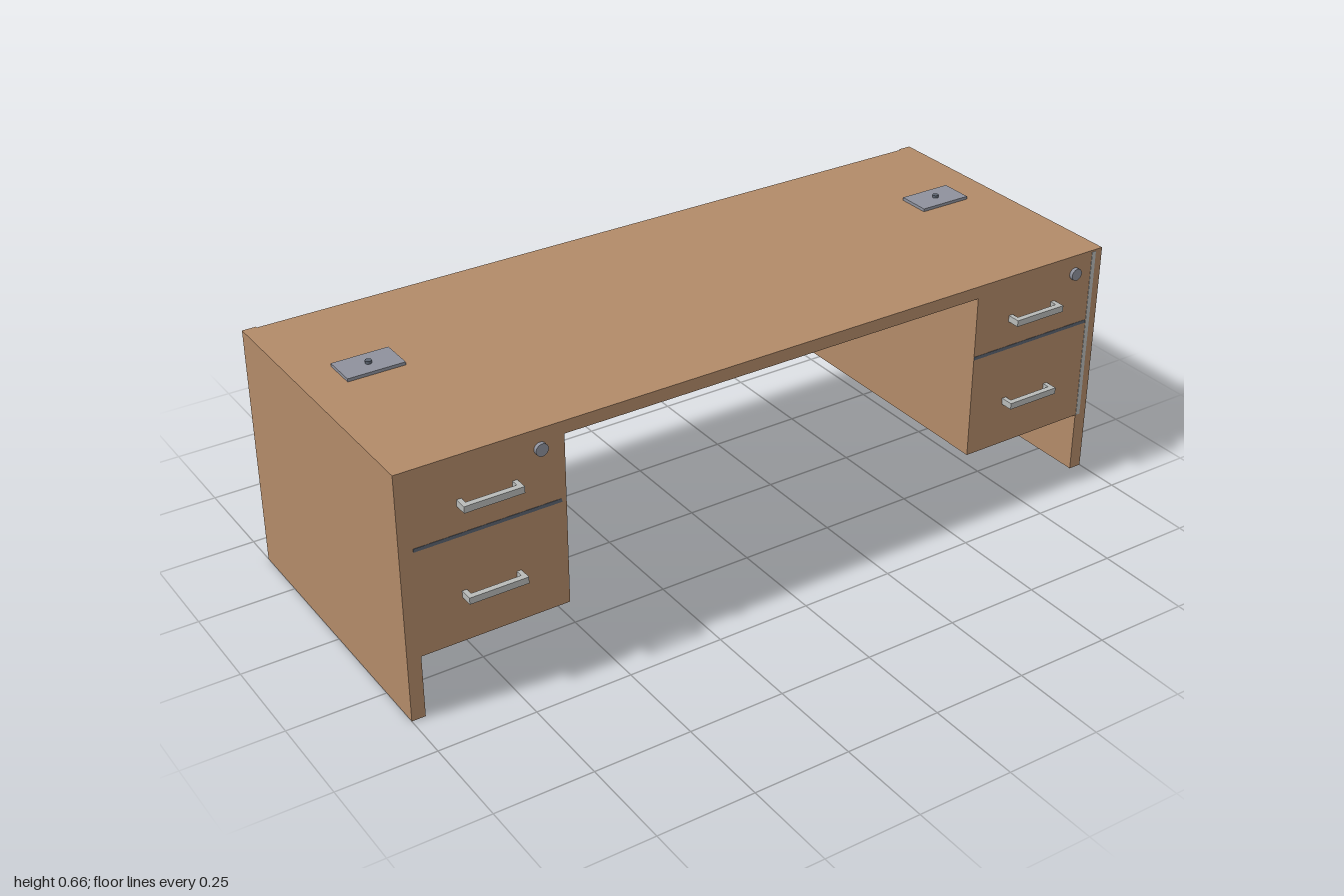
import * as THREE from 'three';

const material = (name, color, extra = {}) => {
  const m = new THREE.MeshStandardMaterial({ color });
  m.name = name;
  return m;
};

export function createModel() {
  const desk = new THREE.Group();
  desk.name = 'desk';
  const wood = material('wood', 0xb28a68);
  const silver = material('silver', 0xb8bab8);
  const steel = material('steel', 0x8e919c);
  const slate = material('slate', 0x5c6470);

  // Box given by its low and high limits on each axis
  const box = (name, mat, [x0, x1], [y0, y1], [z0, z1], parent = desk) => {
    const mesh = new THREE.Mesh(new THREE.BoxGeometry(x1 - x0, y1 - y0, z1 - z0), mat);
    mesh.position.set((x0 + x1) / 2, (y0 + y1) / 2, (z0 + z1) / 2);
    mesh.name = name;
    parent.add(mesh);
    return mesh;
  };
  const disc = (name, mat, r, h, x, y, z) => {
    const mesh = new THREE.Mesh(new THREE.CylinderGeometry(r, r, h, 24), mat);
    mesh.position.set(x, y, z);
    mesh.name = name;
    desk.add(mesh);
    return mesh;
  };

  const front = 0.375, back = -0.407;

  // Carcass: side panels, top between them, modesty panel at the back
  box('rightSidePanel', wood, [-1, -0.965], [0, 0.645], [back, front]);
  box('leftSidePanel', wood, [0.965, 1], [0, 0.645], [back, front]);
  box('deskTop', wood, [-0.965, 0.965], [0.612, 0.645], [-0.402, front]);
  box('modestyPanel', wood, [-0.965, 0.965], [0.245, 0.612], [back, -0.385]);

  // U-shaped drawer pull
  const handle = (x, y) => {
    const g = new THREE.Group();
    g.name = 'drawerHandle';
    const s = new THREE.Shape();
    [[-0.075, 0], [-0.075, 0.034], [0.075, 0.034], [0.075, 0], [0.063, 0],
      [0.063, 0.019], [-0.063, 0.019], [-0.063, 0]]
      .forEach(([a, b], i) => (i ? s.lineTo(a, b) : s.moveTo(a, b)));
    const mesh = new THREE.Mesh(
      new THREE.ExtrudeGeometry(s, { depth: 0.017, bevelEnabled: false }), silver);
    mesh.name = 'handleBar';
    mesh.rotation.x = Math.PI / 2;
    mesh.position.y = 0.0085;
    g.add(mesh);
    g.position.set(x, y, front);
    desk.add(g);
  };

  // Drawer pedestals with groove, pulls, lock and the cable port above
  const pedestals = [
    { body: [-0.965, -0.583], groove: [-0.965, -0.595], pull: -0.78, lock: -0.645, port: -0.828 },
    { body: [0.595, 0.965], groove: [0.595, 0.965], pull: 0.776, lock: 0.912, port: 0.832 },
  ];
  for (const p of pedestals) {
    box('drawerPedestal', wood, p.body, [0.165, 0.612], [-0.385, front]);
    box('drawerGroove', slate, p.groove, [0.44, 0.449], [front - 0.004, front + 0.001]);
    handle(p.pull, 0.527);
    handle(p.pull, 0.29);
    disc('drawerLock', steel, 0.016, 0.01, p.lock, 0.595, front + 0.005).rotation.x = Math.PI / 2;
    box('cablePortPlate', steel, [p.port - 0.073, p.port + 0.073], [0.645, 0.653], [-0.131, -0.043]);
    disc('cablePortKnob', slate, 0.008, 0.007, p.port, 0.6565, -0.086);
  }

  // Thin metal trim on the front edge of the left side panel
  box('edgeTrim', silver, [0.967, 0.979], [0.165, 0.64], [front - 0.004, front + 0.001]);

  return desk;
}
